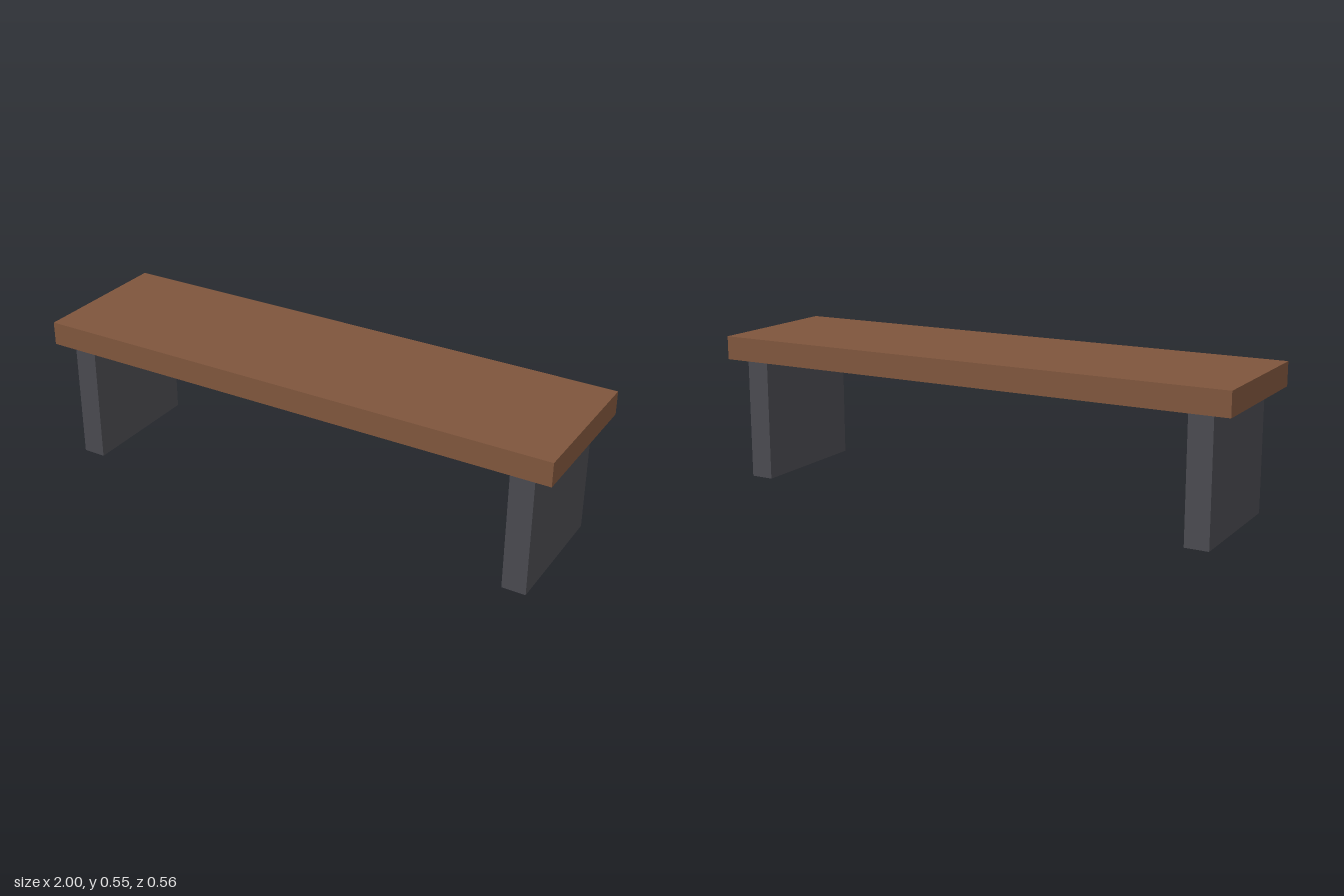
import * as THREE from 'three';

const SEAT_BOTTOM = 0.457;
const SEAT_THICKNESS = 0.088;

function box(name, width, height, depth, color) {
  const mesh = new THREE.Mesh(
    new THREE.BoxGeometry(width, height, depth),
    new THREE.MeshStandardMaterial({ color })
  );
  mesh.name = name;
  return mesh;
}

export function createModel() {
  const bench = new THREE.Group();
  bench.name = 'bench';

  // Wooden seat slab
  const seat = box('seat', 2, SEAT_THICKNESS, 0.556, 0x80563d);
  seat.position.y = SEAT_BOTTOM + SEAT_THICKNESS / 2;
  bench.add(seat);

  // Mirrored slab legs, set in from the seat ends
  for (const side of [-1, 1]) {
    const leg = box(side > 0 ? 'leftLeg' : 'rightLeg', 0.088, SEAT_BOTTOM, 0.488, 0x4a4a50);
    leg.position.set(side * 0.888, SEAT_BOTTOM / 2, 0);
    bench.add(leg);
  }

  return bench;
}
